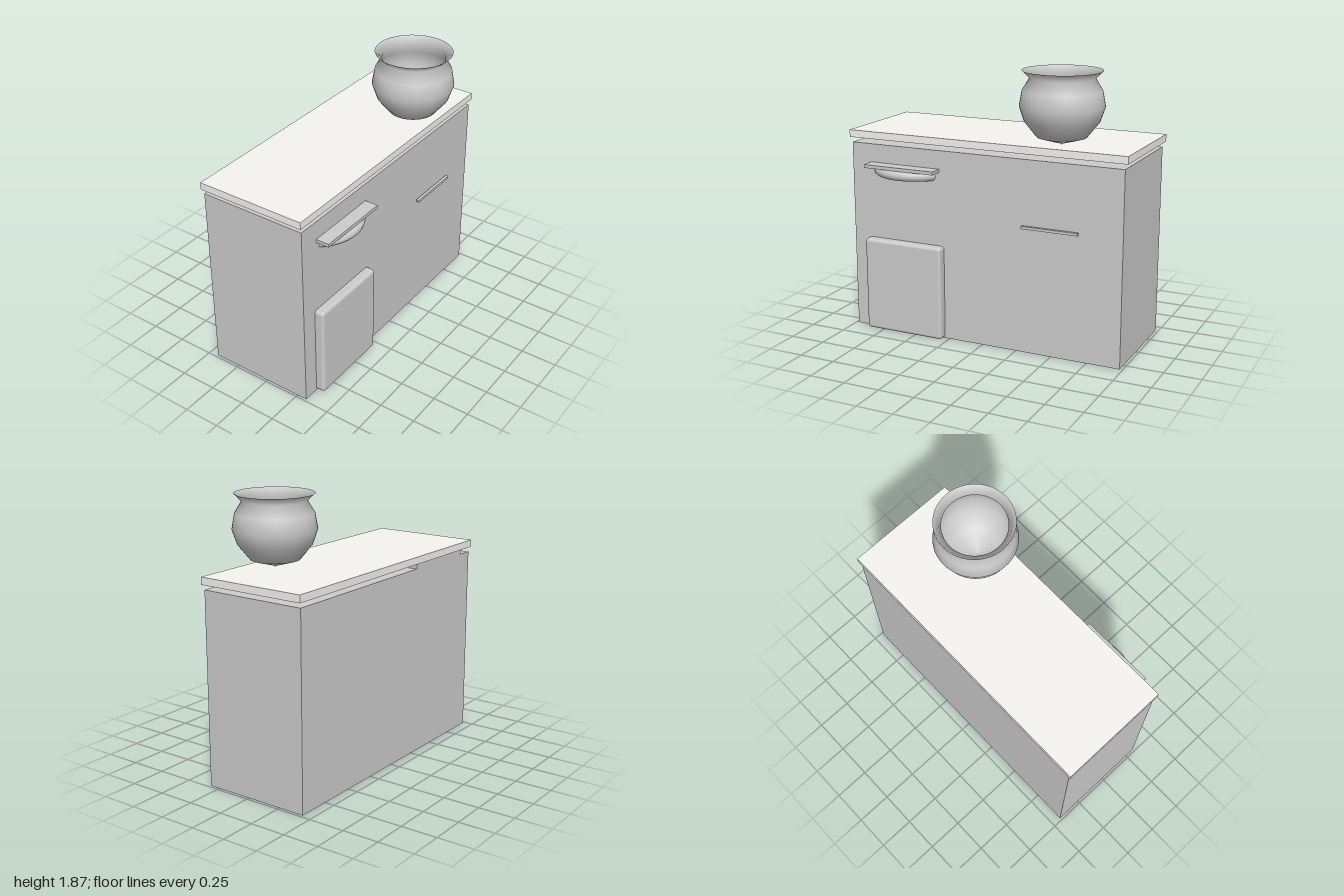
import * as THREE from 'three';
import { RoundedBoxGeometry } from 'three/addons/geometries/RoundedBoxGeometry.js';

const grey = new THREE.MeshStandardMaterial({ color: 0xcccccc });
const greyThin = new THREE.MeshStandardMaterial({ color: 0xcccccc, side: THREE.DoubleSide });
const pale = new THREE.MeshStandardMaterial({ color: 0xf6f4f0 });

export function createModel() {
  const model = new THREE.Group();
  model.name = 'kitchenCabinet';

  const add = (name, geometry, material = grey) => {
    const mesh = new THREE.Mesh(geometry, material);
    mesh.name = name;
    model.add(mesh);
    return mesh;
  };

  // Box given by its lower and upper limits on each axis; a radius rounds its edges
  const box = (name, [x0, x1], [y0, y1], [z0, z1], material = grey, radius = 0) => {
    const size = [x1 - x0, y1 - y0, z1 - z0];
    const geometry = radius
      ? new RoundedBoxGeometry(...size, 3, radius)
      : new THREE.BoxGeometry(...size);
    add(name, geometry, material).position.set((x0 + x1) / 2, (y0 + y1) / 2, (z0 + z1) / 2);
  };

  // Cabinet with its raised worktop and the spacer at the back
  box('cabinetBody', [-0.983, 0.98], [0, 1.313], [-0.432, 0.322]);
  box('worktop', [-1, 1], [1.348, 1.398], [-0.442, 0.33], pale);
  box('rearSpacer', [-0.87, -0.285], [1.313, 1.348], [-0.432, -0.27]);

  // Front fittings
  box('door', [-0.87, -0.285], [0.004, 0.656], [0.22, 0.385], grey, 0.022);
  box('shelf', [-0.84, -0.315], [1.164, 1.187], [0.3, 0.415]);
  box('drawerHandle', [0.295, 0.685], [0.859, 0.877], [0.332, 0.353]);

  // Curved rail under the shelf: a horizontal arc whose ends sink into the cabinet
  const arc = 2.4;
  const rail = new THREE.TorusGeometry(0.264, 0.033, 12, 32, arc);
  rail.rotateZ(Math.PI / 2 - arc / 2).rotateX(Math.PI / 2);
  add('curvedRail', rail).position.set(-0.578, 1.132, 0.143);

  // Open pot with a flared rim
  const profile = [
    [0, 0], [0.163, 0.048], [0.243, 0.148], [0.276, 0.245],
    [0.258, 0.345], [0.21, 0.425], [0.26, 0.474],
  ].map(([r, y]) => new THREE.Vector2(r, y));
  add('pot', new THREE.LatheGeometry(profile, 48), greyThin).position.set(0.49, 1.398, 0.153);

  return model;
}
